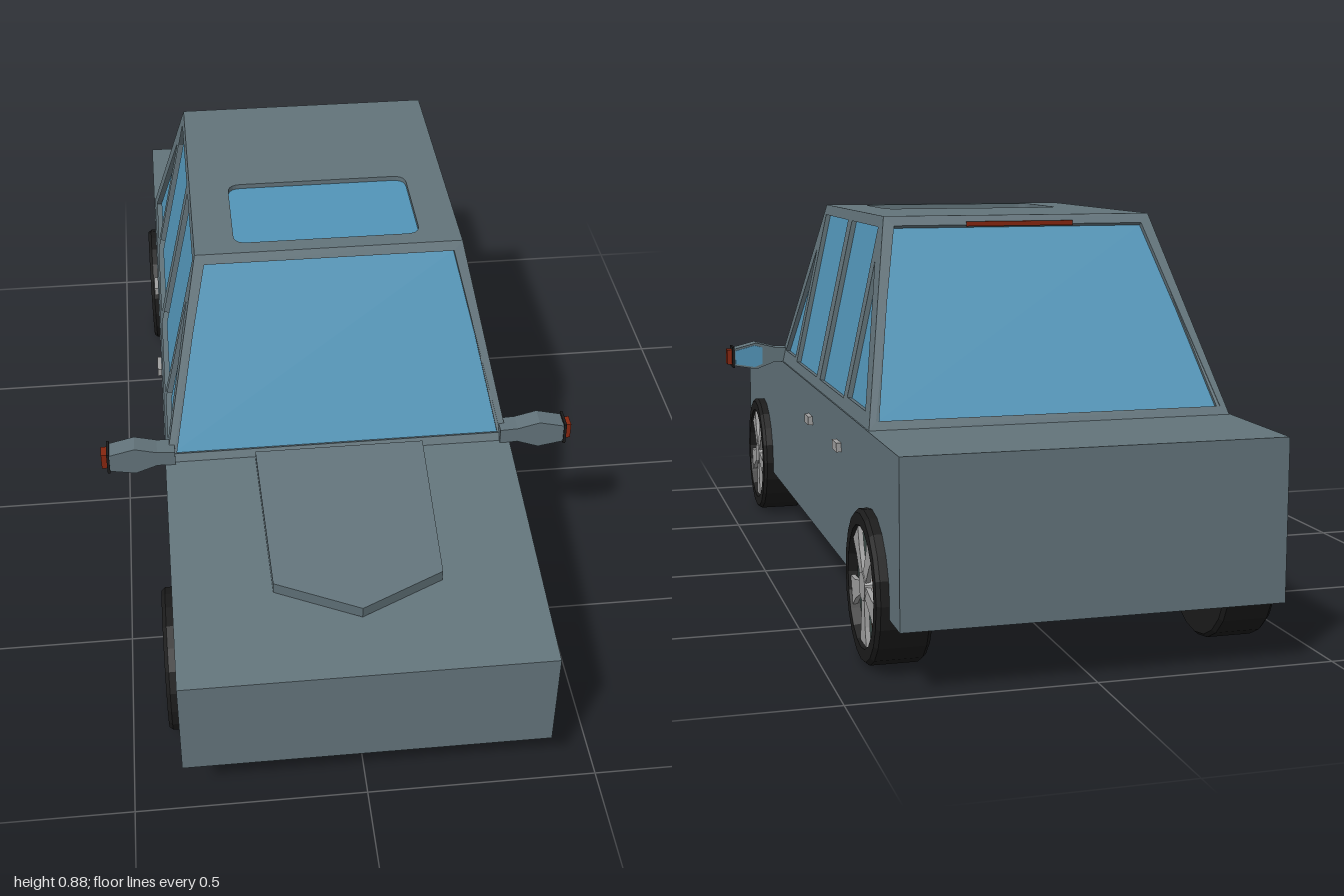
import * as THREE from 'three';

const mat = (name, color) => Object.assign(new THREE.MeshStandardMaterial({ color, flatShading: true }), { name });

export function createModel() {
  const car = new THREE.Group();
  car.name = 'car';
  const paint = mat('bodyPaint', 0x62737a);
  const glass = mat('glass', 0x5295b8);
  const rubber = mat('tyreRubber', 0x1b1b1b);
  const alloy = mat('alloy', 0xa0a0a0);
  const red = mat('red', 0x86260f);
  const steel = mat('darkSteel', 0x3b4a47);

  const add = (name, geometry, material, parent = car) => {
    const mesh = new THREE.Mesh(geometry, material);
    mesh.name = name;
    parent.add(mesh);
    return mesh;
  };
  const box = (name, w, h, d, material, x, y, z, parent = car) => {
    const mesh = add(name, new THREE.BoxGeometry(w, h, d), material, parent);
    mesh.position.set(x, y, z);
    return mesh;
  };
  const poly = pts => new THREE.Shape(pts.map(([x, y]) => new THREE.Vector2(x, y)));
  const extrude = (shape, depth) => new THREE.ExtrudeGeometry(shape, { depth, bevelEnabled: false, curveSegments: 5 });

  // Lower body: side profile swept across the width
  const body = extrude(poly([[-1, 0.13], [1, 0.13], [1, 0.37], [0.41, 0.465], [-1, 0.465]]), 0.786);
  body.rotateY(-Math.PI / 2).translate(0.393, 0, 0);
  add('body', body, paint);

  // Hood bulge, tilted along the hood slope
  const bulge = extrude(poly([[-0.19, -0.42], [0.19, -0.42], [0.18, -0.79], [0, -0.87], [-0.18, -0.79]]), 0.03);
  bulge.rotateX(-Math.PI / 2);
  const hood = add('hoodBulge', bulge, paint);
  hood.position.set(0, 0.518, 0);
  hood.rotation.x = 0.142;

  // Cabin wall: frame with window holes, and recessed glass in each hole.
  // Points are (u, v) on the plane origin + u * uAxis + v * vAxis.
  const wall = (name, origin, u, v, outline, windows) => {
    const n = new THREE.Vector3().crossVectors(u, v).normalize();
    const m = new THREE.Matrix4().makeBasis(u, v, n).setPosition(origin);
    const frame = poly(outline);
    frame.holes = windows;
    add(name + 'Frame', extrude(frame, 0.02).translate(0, 0, -0.02).applyMatrix4(m), paint);
    windows.forEach(w => add(name + 'Glass',
      new THREE.ShapeGeometry(w, 5).translate(0, 0, -0.011).applyMatrix4(m), glass));
  };
  const V = (x, y, z) => new THREE.Vector3(x, y, z);
  const base = 0.465, top = 0.88, rise = top - base;
  const xBase = 0.39, xTop = 0.3, zFront = [0.41, 0.2], zBack = [-0.72, -0.46];

  // Windscreen and rear window
  for (const [name, s, [z0, z1]] of [['windscreen', 1, zFront], ['rearWindow', -1, zBack]]) {
    const v = V(0, 1, (z1 - z0) / rise);
    wall(name, V(0, 0, z0).addScaledVector(v, -base).setY(0), V(s, 0, 0), v,
      [[-xBase, base], [xBase, base], [xTop, top], [-xTop, top]],
      [poly([[-0.373, 0.482], [0.373, 0.482], [0.28, 0.86], [-0.28, 0.86]])]);
  }

  // Cabin sides, each with four windows
  const sideWindows = [
    [[0.36, 0.495], [0.212, 0.495], [0.212, 0.77]],
    [[0.182, 0.488], [-0.1, 0.488], [-0.1, 0.856], [0.182, 0.856]],
    [[-0.145, 0.488], [-0.43, 0.488], [-0.43, 0.856], [-0.145, 0.856]],
    [[-0.466, 0.495], [-0.655, 0.495], [-0.466, 0.785]],
  ];
  for (const s of [1, -1]) {
    const v = V(s * (xTop - xBase) / rise, 1, 0);
    const side = pts => pts.map(([z, y]) => [-s * z, y]);
    wall(s > 0 ? 'leftSide' : 'rightSide', V(s * xBase - v.x * base, 0, 0), V(0, 0, -s), v,
      side([[zFront[0], base], [zBack[0], base], [zBack[1], top], [zFront[1], top]]),
      sideWindows.map(w => poly(side(w))));
  }

  // Roof with rounded sunroof
  const sunroof = new THREE.Shape();
  const [w, zf, zb, r] = [0.21, -0.16, 0.09, 0.03];
  sunroof.moveTo(-w + r, zf).lineTo(w - r, zf).quadraticCurveTo(w, zf, w, zf + r)
    .lineTo(w, zb - r).quadraticCurveTo(w, zb, w - r, zb)
    .lineTo(-w + r, zb).quadraticCurveTo(-w, zb, -w, zb - r)
    .lineTo(-w, zf + r).quadraticCurveTo(-w, zf, -w + r, zf);
  wall('roof', V(0, top, 0), V(1, 0, 0), V(0, 0, -1),
    [[-xTop, -zFront[1]], [xTop, -zFront[1]], [xTop, -zBack[1]], [-xTop, -zBack[1]]], [sunroof]);

  // High brake light above the rear window
  box('brakeLight', 0.24, 0.01, 0.01, red, 0, 0.862, -0.468);

  // Wheel: local axis z, outer face towards +z
  const tyreProfile = [[0, 0], [0.15, 0], [0.157, 0.008], [0.157, 0.105], [0.15, 0.113], [0.125, 0.113], [0.12, 0.09]]
    .map(([x, y]) => new THREE.Vector2(x, y));
  const makeWheel = (name, s, z) => {
    const wheel = new THREE.Group();
    wheel.name = name;
    add('tyre', new THREE.LatheGeometry(tyreProfile, 20).rotateX(Math.PI / 2), rubber, wheel);
    add('brakeDisc', new THREE.CircleGeometry(0.122, 20).translate(0, 0, 0.093), steel, wheel);
    const start = (s > 0 ? 0 : Math.PI) - 1.25;
    add('brakeCaliper', new THREE.RingGeometry(0.045, 0.085, 10, 1, start + (s > 0 ? 0.1 : -0.1), 2.5)
      .translate(0, 0, 0.097), red, wheel);
    for (let i = 0; i < 5; i++) {
      const spoke = extrude(poly([[-0.013, 0.015], [0.013, 0.015], [0.019, 0.08], [0.03, 0.118], [-0.03, 0.118], [-0.019, 0.08]]), 0.01);
      add('spoke', spoke.translate(0, 0, 0.098).rotateZ(Math.PI + i * Math.PI * 0.4), alloy, wheel);
    }
    add('hub', new THREE.CylinderGeometry(0.03, 0.036, 0.02, 10).rotateX(Math.PI / 2).translate(0, 0, 0.1), alloy, wheel);
    wheel.rotation.y = s * Math.PI / 2;
    wheel.position.set(s * 0.305, 0.157, z);
    car.add(wheel);
  };

  const mirrorOutline = [[0.37, 0.462], [0.41, 0.465], [0.46, 0.446], [0.52, 0.457], [0.52, 0.5], [0.46, 0.515], [0.41, 0.502], [0.37, 0.5]];
  const mirrorFace = [[0.445, 0.46], [0.465, 0.452], [0.515, 0.461], [0.515, 0.496], [0.465, 0.509], [0.445, 0.503]];
  for (const s of [1, -1]) {
    const label = s > 0 ? 'left' : 'right';
    makeWheel(label + 'FrontWheel', s, 0.713);
    makeWheel(label + 'RearWheel', s, -0.757);

    // Door handles
    for (const z of [-0.06, -0.415]) box(label + 'DoorHandle', 0.02, 0.02, 0.052, alloy, s * 0.394, 0.381, z);

    // Door mirror with rear glass and red end lamp
    const mirror = new THREE.Group();
    mirror.name = label + 'Mirror';
    const flip = pts => poly(pts.map(([x, y]) => [s * x, y]));
    add('mirrorHousing', extrude(flip(mirrorOutline), 0.045), paint, mirror);
    add('mirrorGlass', extrude(flip(mirrorFace), 0.004).translate(0, 0, -0.003), glass, mirror);
    box('mirrorTip', 0.006, 0.054, 0.05, rubber, s * 0.52, 0.479, 0.0225, mirror);
    box('mirrorLamp', 0.015, 0.038, 0.03, red, s * 0.528, 0.479, 0.0225, mirror);
    mirror.position.z = 0.372;
    car.add(mirror);
  }
  return car;
}
